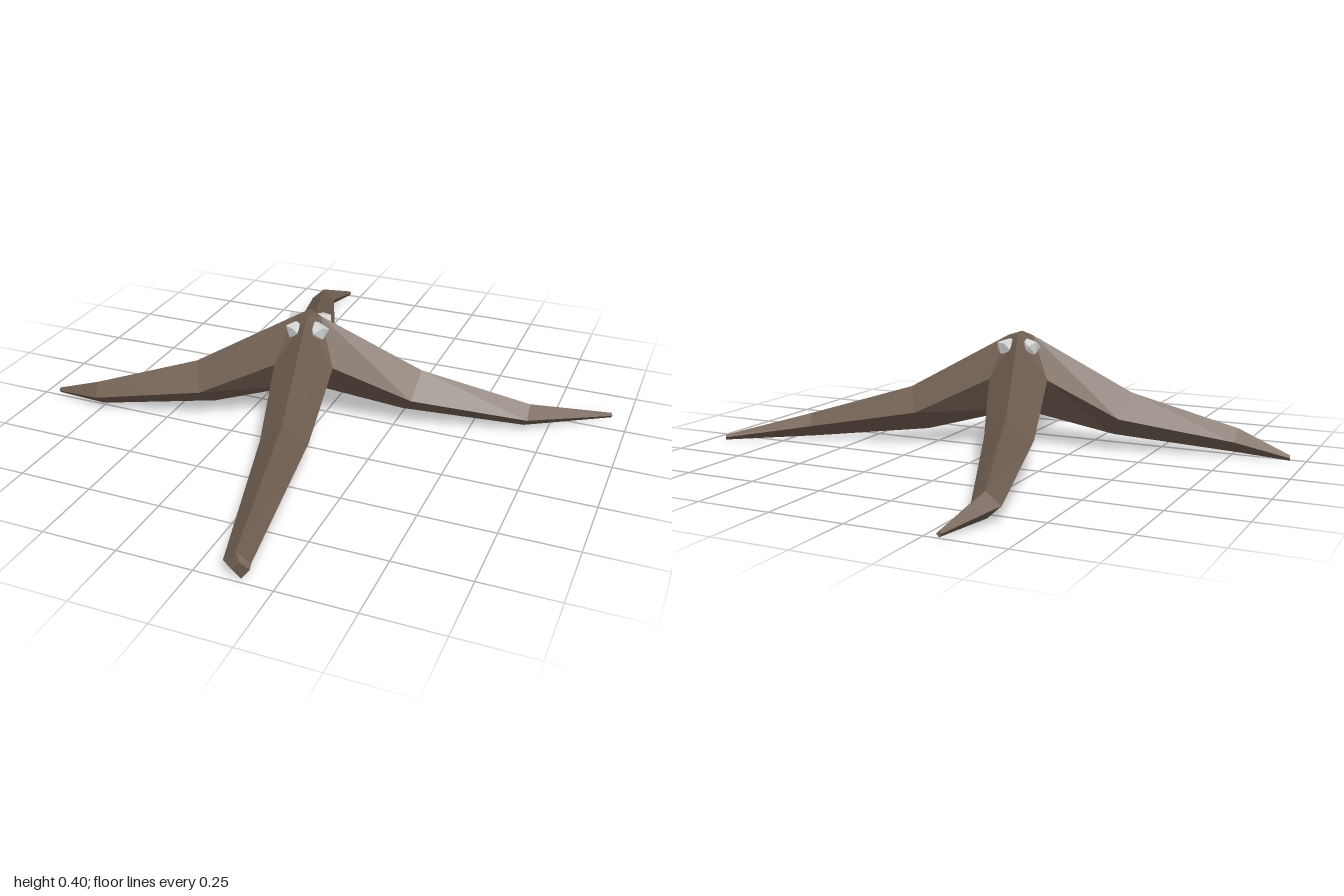
import * as THREE from 'three';

const skin = new THREE.MeshStandardMaterial({ color: 0x6f5d50, flatShading: true });
skin.name = 'brown skin';
const bone = new THREE.MeshStandardMaterial({ color: 0xd2d6d4, flatShading: true });
bone.name = 'pale bone';

const V = (x, y, z) => new THREE.Vector3(x, y, z);
const bottom = V(-0.04, 0.13, 0.06);

// Valley corners shared by neighbouring arms
const corner = {
  se: V(0.08, 0.25, 0.14), ne: V(0.02, 0.25, -0.06),
  nw: V(-0.17, 0.25, 0.0), sw: V(-0.11, 0.25, 0.19),
};

// Heights of ridge, side edges and keel, and lean of each cross-section
const levels = [
  { top: 0.2, side: 0.12, low: 0.05, lean: 0.03 },
  { top: 0.09, side: 0.05, low: 0.008, lean: 0.008 },
  { top: 0.02, side: 0.012, low: 0.002, lean: 0.0 },
];

// Arms anticlockwise from above; each section is [right x, right z, left x, left z]
const arms = [
  { name: 'frontArm', top: V(-0.03, 0.4, 0.1), right: 'sw', left: 'se', tip: { top: 0.06, side: 0.035, low: 0, lean: 0.005 },
    sections: [[-0.04, 0.46, 0.11, 0.42], [0.09, 0.985, 0.17, 0.97], [0.12, 0.995, 0.17, 0.98]] },
  { name: 'leftArm', top: V(0.0, 0.39, 0.05), right: 'se', left: 'ne',
    sections: [[0.32, 0.03, 0.28, -0.12], [0.69, -0.11, 0.67, -0.2], [0.945, -0.325, 0.935, -0.338]] },
  { name: 'backArm', top: V(-0.05, 0.395, 0.02), right: 'ne', left: 'nw',
    sections: [[-0.11, -0.36, -0.27, -0.33], [-0.3, -0.82, -0.39, -0.81], [-0.29, -1.0, -0.305, -0.995]] },
  { name: 'rightArm', top: V(-0.08, 0.39, 0.08), right: 'nw', left: 'sw',
    sections: [[-0.4, 0.08, -0.37, 0.245], [-0.765, 0.21, -0.755, 0.3], [-0.95, 0.225, -0.948, 0.242]] },
];

// Mesh from a list of triangle corner points
function facets(points, name) {
  const geometry = new THREE.BufferGeometry().setFromPoints(points);
  geometry.computeVertexNormals();
  const mesh = new THREE.Mesh(geometry, skin);
  mesh.name = name;
  return mesh;
}

// Diamond cross-section: ridge, right edge, keel, left edge
function diamond([rx, rz, lx, lz], { top, side, low, lean }) {
  const mx = (rx + lx) / 2, mz = (rz + lz) / 2;
  const length = Math.hypot(rx - lx, rz - lz);
  const dx = lean * (rz - lz) / length, dz = -lean * (rx - lx) / length;
  return [V(mx + dx, top, mz + dz), V(rx, side, rz), V(mx - dx, low, mz - dz), V(lx, side, lz)];
}

function makeArm(arm) {
  const rings = [[arm.top, corner[arm.right], bottom, corner[arm.left]]];
  arm.sections.forEach((s, i) => rings.push(diamond(s, i === 2 && arm.tip ? arm.tip : levels[i])));
  const points = [];
  for (let k = 0; k < 3; k++) {
    const a = rings[k], b = rings[k + 1];
    for (let i = 0; i < 4; i++) {
      const j = (i + 1) % 4;
      points.push(a[i], a[j], b[j], a[i], b[j], b[i]);
    }
  }
  const [p, q, r, s] = rings[3];
  points.push(p, q, r, p, r, s);
  return facets(points, arm.name);
}

// Webs in the valleys between arms, and the closed crown
function makeHub() {
  const points = [];
  arms.forEach((arm, i) => points.push(arm.top, corner[arm.left], arms[(i + 1) % 4].top));
  const [a, b, c, d] = arms.map((arm) => arm.top);
  points.push(a, b, c, a, c, d);
  return facets(points, 'hub');
}

// Flared spikes spreading from the crown down each valley
function makeTeeth() {
  const group = new THREE.Group();
  group.name = 'teeth';
  const profile = [[0, 0], [0.013, 0.005], [0.014, 0.03], [0.036, 0.08], [0, 0.1]]
    .map(([r, y]) => new THREE.Vector2(r, y));
  const geometry = new THREE.LatheGeometry(profile, 6);
  const start = V(-0.038, 0.388, 0.06);
  for (const c of Object.values(corner)) {
    const direction = V(c.x - start.x, 0, c.z - start.z).normalize();
    direction.y = -0.65;
    const tooth = new THREE.Mesh(geometry, bone);
    tooth.name = 'tooth';
    tooth.position.copy(start);
    tooth.quaternion.setFromUnitVectors(V(0, 1, 0), direction.normalize());
    group.add(tooth);
  }
  return group;
}

export function createModel() {
  const model = new THREE.Group();
  model.name = 'fourArmedStar';
  arms.forEach((arm) => model.add(makeArm(arm)));
  model.add(makeHub(), makeTeeth());
  return model;
}
